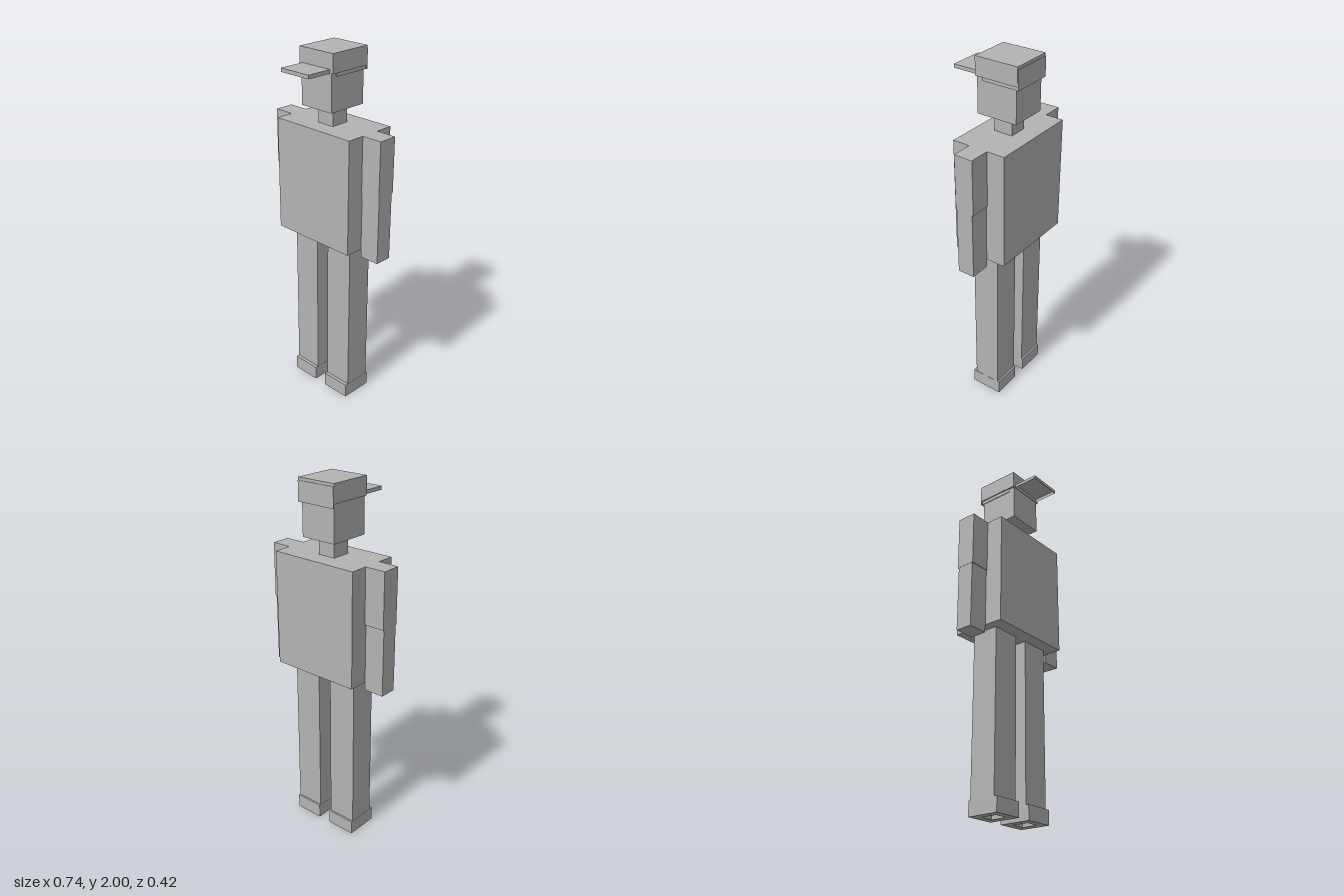
import * as THREE from 'three';

export function createModel() {
  const model = new THREE.Group();
  model.name = 'blockFigure';
  const grey = new THREE.MeshStandardMaterial({ color: 0xb3b3b3, side: THREE.DoubleSide });
  grey.name = 'plainGrey';

  // Box given by its limits on each axis; the underside can be left open
  function block(name, [x0, x1], [y0, y1], [z0, z1], openBelow = false) {
    const geo = new THREE.BoxGeometry(x1 - x0, y1 - y0, z1 - z0);
    if (openBelow) {
      const index = Array.from(geo.index.array);
      index.splice(18, 6);
      geo.setIndex(index);
      geo.clearGroups();
    }
    geo.translate((x0 + x1) / 2, (y0 + y1) / 2, (z0 + z1) / 2);
    const mesh = new THREE.Mesh(geo, grey);
    mesh.name = name;
    model.add(mesh);
  }

  // Shoe band with a square opening in its sole
  function foot(name, [x0, x1], [z0, z1], height, rim) {
    const rect = (Type, a, b, c, d) => {
      const path = new Type();
      path.moveTo(a, c);
      path.lineTo(b, c);
      path.lineTo(b, d);
      path.lineTo(a, d);
      path.closePath();
      return path;
    };
    const shape = rect(THREE.Shape, x0, x1, -z1, -z0);
    shape.holes.push(rect(THREE.Path, x0 + rim, x1 - rim, -z1 + rim, -z0 - rim));
    const geo = new THREE.ExtrudeGeometry(shape, { depth: height, bevelEnabled: false });
    geo.rotateX(-Math.PI / 2);
    const mesh = new THREE.Mesh(geo, grey);
    mesh.name = name;
    model.add(mesh);
  }

  // Torso, neck and head
  block('torso', [-0.256, 0.256], [0.975, 1.605], [-0.21, 0.097]);
  block('neck', [-0.053, 0.05], [1.6, 1.705], [-0.108, -0.002]);
  block('head', [-0.106, 0.102], [1.7, 1.95], [-0.169, 0.063]);

  // Cap with a slightly narrower lower edge, a thin back panel and a flat bill
  block('capCrown', [-0.116, 0.114], [1.9, 2.0], [-0.182, 0.066]);
  block('capLowerEdge', [-0.11, 0.108], [1.88, 1.9], [-0.182, 0.03]);
  block('capBackPanel', [-0.116, 0.112], [1.88, 1.985], [-0.186, -0.18]);
  block('capBill', [-0.097, 0.095], [1.9, 1.92], [0.01, 0.21], true);

  // Arms and legs on both sides
  for (const [side, s] of [['left', 1], ['right', -1]]) {
    const span = (a, b) => (s > 0 ? [a, b] : [-b, -a]);
    block(side + 'UpperArm', span(0.256, 0.372), [1.3, 1.605], [-0.109, -0.002]);
    block(side + 'LowerArm', span(0.257, 0.371), [0.93, 1.3], [-0.102, -0.006]);
    block(side + 'Leg', span(0.04, 0.204), [0.07, 0.975], [-0.13, 0.023], true);
    foot(side + 'Foot', span(0.039, 0.205), [-0.14, 0.042], 0.08, 0.045);
  }
  return model;
}
